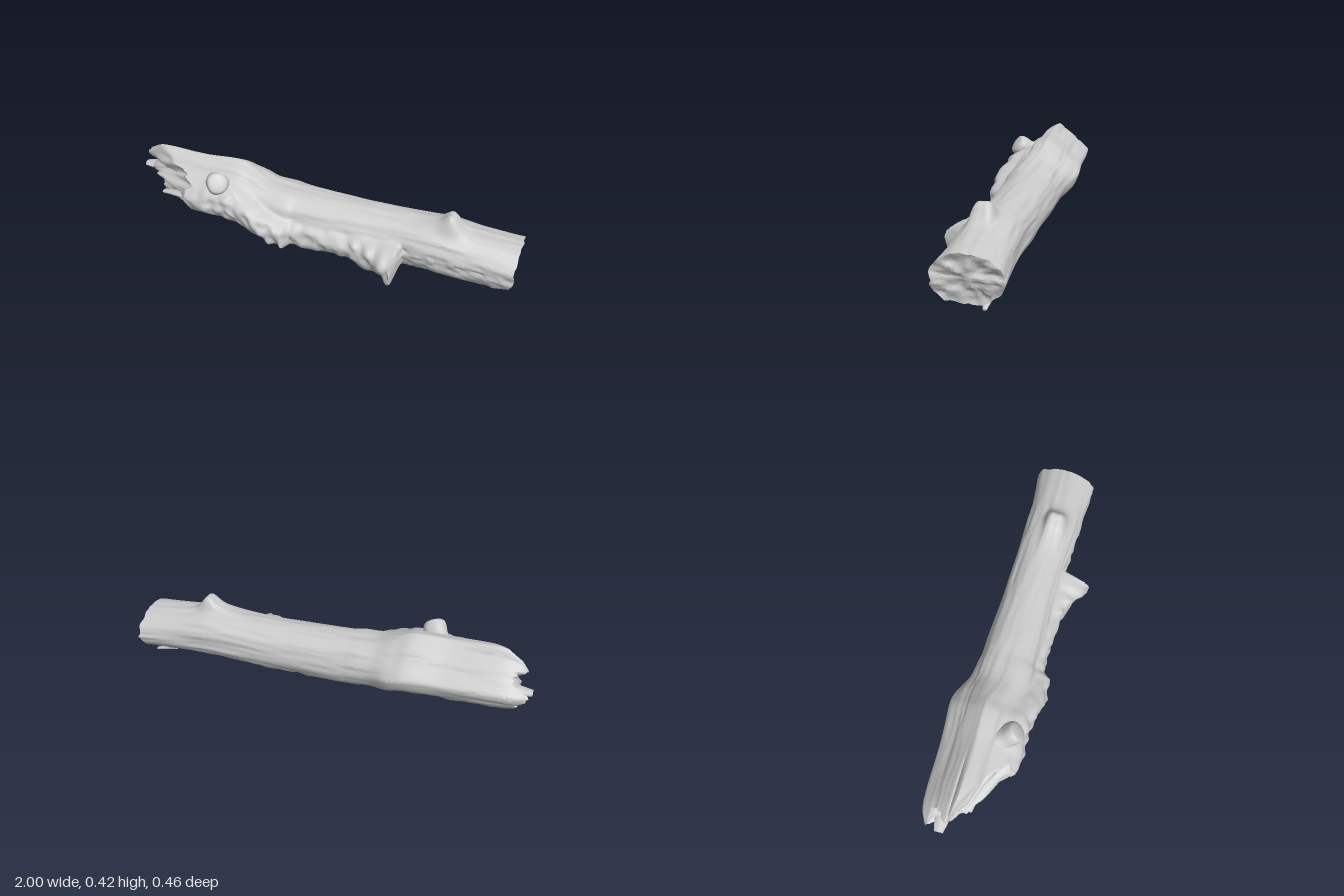
import * as THREE from 'three';
import { toCreasedNormals } from 'three/addons/utils/BufferGeometryUtils.js';

const { lerp, clamp, smoothstep } = THREE.MathUtils;

// Seeded value noise in 3D, range -1..1
function hash(x, y, z) {
  let h = (x * 374761393 + y * 668265263 + z * 1274126177) | 0;
  h = Math.imul(h ^ (h >>> 13), 1274126177);
  return (((h ^ (h >>> 16)) >>> 0) / 4294967295) * 2 - 1;
}
function noise(x, y, z) {
  const xi = Math.floor(x), yi = Math.floor(y), zi = Math.floor(z);
  const s = (t) => t * t * (3 - 2 * t);
  const u = s(x - xi), v = s(y - yi), w = s(z - zi);
  const row = (b, c) => lerp(hash(xi, yi + b, zi + c), hash(xi + 1, yi + b, zi + c), u);
  return lerp(lerp(row(0, 0), row(1, 0), v), lerp(row(0, 1), row(1, 1), v), w);
}
const gauss = (d, w) => Math.exp(-(d * d) / (w * w));
const plateau = (d, w) => Math.exp(-((d / w) ** 4));

// Trunk stations: x, back z, front z, bottom y, top y, skirt overhang
const STATIONS = [
  [-1.0, -0.13, 0.13, 0.16, 0.36, 0.0],
  [-0.93, -0.17, 0.14, 0.135, 0.40, 0.0],
  [-0.85, -0.185, 0.15, 0.12, 0.425, 0.0],
  [-0.6, -0.205, 0.15, 0.11, 0.415, 0.03],
  [-0.42, -0.23, 0.14, 0.105, 0.415, 0.045],
  [-0.35, -0.225, 0.13, 0.09, 0.385, 0.055],
  [-0.25, -0.185, 0.12, 0.075, 0.337, 0.07],
  [-0.13, -0.172, 0.11, 0.055, 0.318, 0.085],
  [-0.1, -0.172, 0.1, 0.05, 0.314, 0.045],
  [0.2, -0.177, 0.085, 0.047, 0.295, 0.055],
  [0.33, -0.182, 0.082, 0.045, 0.288, 0.1],
  [0.44, -0.185, 0.08, 0.043, 0.287, 0.145],
  [0.46, -0.186, 0.08, 0.043, 0.287, 0.0],
  [0.62, -0.192, 0.083, 0.038, 0.288, 0.0],
  [0.8, -0.205, 0.08, 0.03, 0.264, 0.0],
  [1.0, -0.23, 0.078, 0.022, 0.238, 0.0],
];
function station(x) {
  let k = 0;
  while (k < STATIONS.length - 2 && STATIONS[k + 1][0] < x) k++;
  const a = STATIONS[k], b = STATIONS[k + 1];
  const before = STATIONS[Math.max(0, k - 1)], after = STATIONS[Math.min(STATIONS.length - 1, k + 2)];
  const w = b[0] - a[0], t = clamp((x - a[0]) / w, 0, 1);
  return a.map((v, i) => {
    if (i === 5) return lerp(v, b[i], t);
    // cubic through the stations
    const m0 = ((b[i] - before[i]) / (b[0] - before[0])) * w, m1 = ((after[i] - v) / (after[0] - a[0])) * w;
    const t2 = t * t, t3 = t2 * t;
    return (2 * t3 - 3 * t2 + 1) * v + (t3 - 2 * t2 + t) * m0 + (3 * t2 - 2 * t3) * b[i] + (t3 - t2) * m1;
  });
}

// Point on the bark at distance x and angle th (0 = front, PI/2 = top)
function barkPoint(x, th) {
  const [, z0, z1, y0, y1, skirt] = station(x);
  const c = Math.cos(th), s = Math.sin(th);
  // round at the sawn end, ridged like a roof toward the broken end
  const ridge = smoothstep(-x, 0.12, 0.4);
  const p = s > 0 ? lerp(2.2, c < 0 ? 1.0 : 1.25, ridge) : c < 0 ? lerp(2.1, 1.7, ridge) : lerp(2.8, 2.2, ridge);
  const k = Math.pow(Math.abs(c) ** p + Math.abs(s) ** p, -1 / p);
  const rz = (z1 - z0) / 2, ry = (y1 - y0) / 2;
  const low = smoothstep(-s + 0.5 * c, 0.0, 0.7);
  // long furrows, coarse lumps and a ragged lower front
  let d = 0.005 * noise(x * 3, c * 3, s * 3) + 0.0035 * noise(x * 6, c * 7, s * 7);
  d += low * (0.008 * noise(x * 11, c * 4, s * 4) + 0.005 * noise(x * 30, c * 8, s * 8));
  d -= 0.012 * (0.4 + ridge) * Math.max(0, noise(x * 2.5 + 9, c * 6, s * 6) - 0.35);
  // torn skirt of bark, and a long hollow running beneath it
  const a = Math.atan2(s, c), skirtAngle = lerp(-0.3, -0.02, ridge);
  d += skirt * plateau(a - skirtAngle, lerp(0.42, 0.6, ridge)) * (1 + 0.2 * noise(x * 26, 4, s * 5));
  const hollow = smoothstep(x, -0.95, -0.7) * (1 - smoothstep(x, 0.2, 0.5));
  d -= 0.03 * hollow * gauss(a + 1.35, 0.28);
  const z = (z0 + z1) / 2 + c * (rz * k + d);
  let y = (y0 + y1) / 2 + s * (ry * k + d);
  // blunt knot on top, with a long ramp on one side
  if (s > 0) {
    const side = plateau(z + 0.035, 0.055);
    y += side * (0.048 * gauss(x - 0.665, 0.042) + 0.027 * gauss(x - 0.65, x < 0.65 ? 0.1 : 0.07));
  }
  return new THREE.Vector3(x, y, z);
}

// Where the broken end starts for each angle: oblique and torn
function brokenX(th) {
  const c = Math.cos(th), s = Math.sin(th);
  const slope = Math.max(0, 0.17 * c + 0.02) * 1.8;
  const jag = 0.035 * noise(c * 3.5 + 3, s * 3.5, 1) + 0.022 * noise(c * 9, s * 9, 7);
  return Math.max(-1, -0.965 + slope + 0.05 * Math.max(0, s) + 0.09 * Math.max(0, -s) + jag);
}

function trunkGeometry() {
  const N = 112, M = 250, CAP = 14;
  const pos = [], idx = [];
  for (let i = -CAP; i <= M + CAP; i++) {
    const u = clamp(i / M, 0, 1);
    const f = i < 0 ? 1 + i / CAP : i > M ? 1 - (i - M) / CAP : 1;
    for (let j = 0; j < N; j++) {
      const th = (j / N) * Math.PI * 2;
      const right = 0.993 - 0.022 * Math.max(0, -Math.sin(th)) + 0.006 * noise(Math.cos(th) * 5, Math.sin(th) * 5, 3);
      const p = barkPoint(lerp(brokenX(th), right, u), th);
      if (f < 1) {
        const core = i < 0 ? new THREE.Vector3(-0.92, 0.255, -0.03) : new THREE.Vector3(0.985, 0.13, -0.075);
        p.lerpVectors(core, p, Math.max(f, 0.001));
        const fade = Math.min(1, (1 - f) * 5);
        // grain relief on both end faces
        p.x += fade * (i < 0
          ? 0.05 * noise(p.z * 14, p.y * 26, 5) + 0.015 * noise(p.z * 35, p.y * 45, 2)
          : 0.01 * noise(p.z * 25, p.y * 50, 8) - 0.005);
        p.x = clamp(p.x, -1, 1);
      }
      pos.push(p.x, p.y, p.z);
    }
  }
  for (let i = 0; i < M + 2 * CAP; i++) {
    for (let j = 0; j < N; j++) {
      const a = i * N + j, b = a + N, c = i * N + ((j + 1) % N), d = c + N;
      idx.push(a, b, c, b, d, c);
    }
  }
  const g = new THREE.BufferGeometry();
  g.setAttribute('position', new THREE.Float32BufferAttribute(pos, 3));
  g.setIndex(idx);
  return toCreasedNormals(g, 1.0);
}

export function createModel() {
  const group = new THREE.Group();
  const material = new THREE.MeshStandardMaterial({ color: 0xcccccc });
  const up = new THREE.Vector3(0, 1, 0);
  // Mesh grown along y, laid from one point toward another
  const addAimed = (name, geometry, from, to) => {
    const mesh = new THREE.Mesh(geometry, material);
    mesh.name = name;
    mesh.position.copy(from);
    mesh.quaternion.setFromUnitVectors(up, to.clone().sub(from).normalize());
    group.add(mesh);
  };

  const trunk = new THREE.Mesh(trunkGeometry(), material);
  trunk.name = 'trunk';
  group.add(trunk);

  // Blunt stub of a lost branch, flared into the trunk
  const profile = [[0.13, -0.05], [0.095, 0], [0.068, 0.035], [0.055, 0.08], [0.055, 0.12], [0.047, 0.145], [0.025, 0.153], [0, 0.155]];
  const curve = new THREE.SplineCurve(profile.map(([r, y]) => new THREE.Vector2(r, y)));
  const stubGeometry = new THREE.LatheGeometry(curve.getPoints(28).map((v) => new THREE.Vector2(Math.max(0, v.x), v.y)), 32);
  const sp = stubGeometry.attributes.position;
  for (let i = 0; i < sp.count; i++) {
    const k = 1 + 0.09 * noise(sp.getX(i) * 25, sp.getY(i) * 18, sp.getZ(i) * 25);
    sp.setXYZ(i, sp.getX(i) * k, sp.getY(i), sp.getZ(i) * k);
  }
  stubGeometry.computeVertexNormals();
  addAimed('branchStub', stubGeometry, new THREE.Vector3(-0.535, 0.285, 0.035), new THREE.Vector3(-0.475, 0.362, 0.13));

  // Flat splinters: root, tip, half width
  const splinters = [
    [[-0.75, 0.26, -0.09], [-1.0, 0.25, -0.07], 0.055],
    [[-0.6, 0.19, 0.04], [-0.86, 0.155, 0.02], 0.045],
    [[0.84, 0.05, -0.13], [0.96, 0.004, -0.135], 0.024],
  ];
  splinters.forEach(([root, tip, w], n) => {
    const a = new THREE.Vector3(...root), b = new THREE.Vector3(...tip);
    const h = a.distanceTo(b);
    const g = new THREE.CylinderGeometry(w * 0.4, w, h, 9, 6).translate(0, h / 2, 0);
    const p = g.attributes.position;
    for (let i = 0; i < p.count; i++) {
      const k = 1 + 0.3 * noise(p.getX(i) * 30, p.getY(i) * 14 + n, p.getZ(i) * 30);
      p.setXYZ(i, p.getX(i) * k * 0.6, p.getY(i), p.getZ(i) * k);
    }
    addAimed('splinter' + (n + 1), toCreasedNormals(g, 0.8), a, b);
  });

  // Rest on the ground, centred
  const box = new THREE.Box3().setFromObject(group, true);
  const centre = box.getCenter(new THREE.Vector3());
  group.children.forEach((m) => m.position.sub(new THREE.Vector3(centre.x, box.min.y, centre.z)));
  return group;
}
